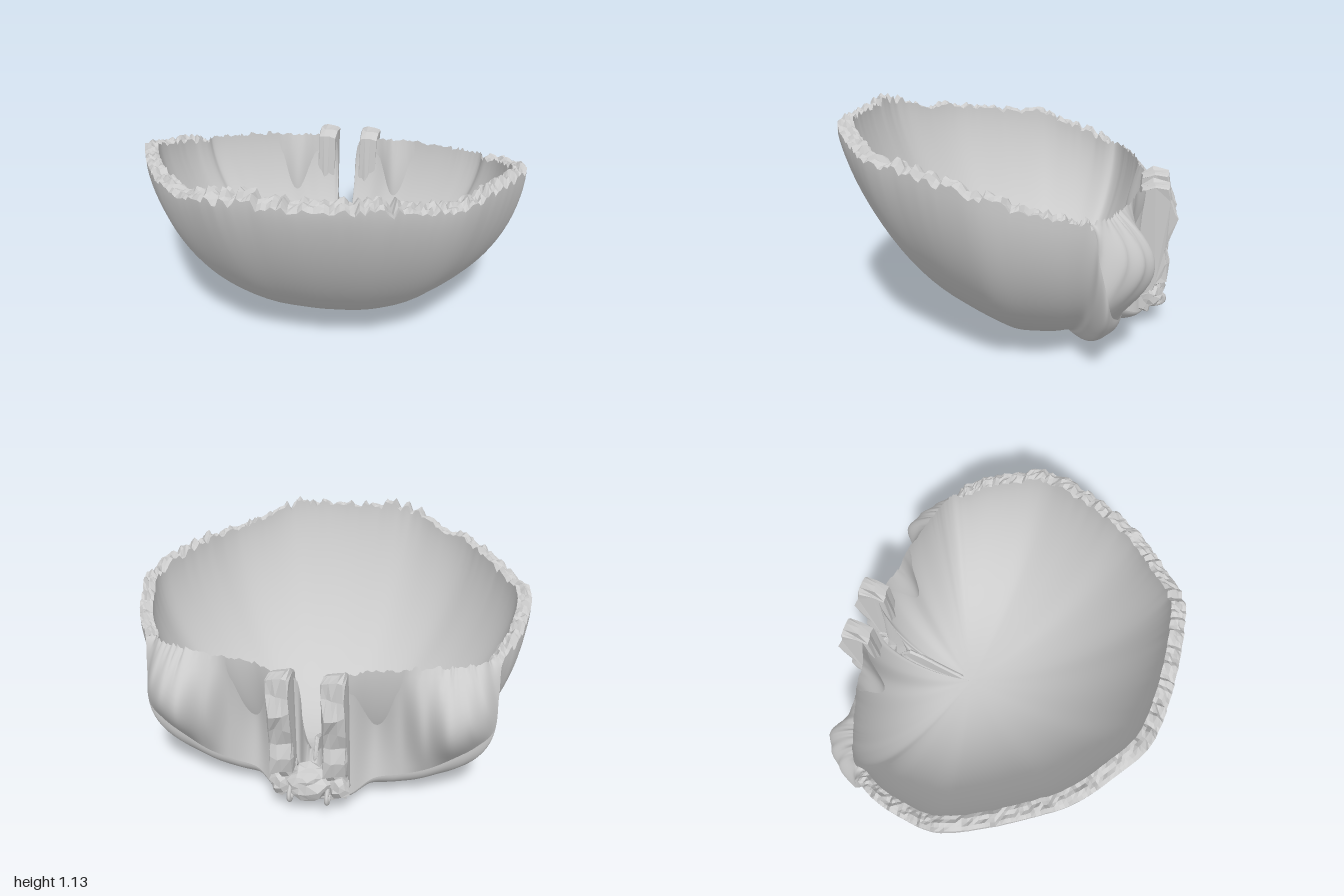
import * as THREE from 'three';

// Seeded noise in -1..1
const noise = (n) => {
  const s = Math.sin(n * 127.1 + 11.7) * 43758.5453;
  return (s - Math.floor(s)) * 2 - 1;
};

// Broken upper rim, from the middle of the front round to the temple
const rim = [
  [0, 1.05, 0.865], [0.2, 1.06, 0.855], [0.38, 1.05, 0.82], [0.55, 0.99, 0.7],
  [0.71, 0.97, 0.56], [0.82, 0.96, 0.39], [0.92, 0.94, 0.2], [1.0, 0.91, -0.02],
  [0.98, 0.86, -0.18], [0.93, 0.81, -0.35], [0.86, 0.77, -0.47],
];
// Brow margin, matching top of the eye socket wall, and hollow (+) or swelling (-) between
const brow = [
  [0.855, 0.6, -0.51, 0.79, 0.77, -0.5, -0.01],
  [0.845, 0.43, -0.55, 0.73, 0.77, -0.54, -0.08],
  [0.77, 0.34, -0.56, 0.67, 0.77, -0.56, -0.14],
  [0.67, 0.27, -0.57, 0.61, 0.77, -0.58, -0.17],
  [0.55, 0.21, -0.59, 0.5, 0.77, -0.61, -0.08],
  [0.42, 0.17, -0.6, 0.39, 0.77, -0.64, 0.01],
  [0.29, 0.14, -0.61, 0.28, 0.76, -0.65, 0.05],
  [0.19, 0.09, -0.68, 0.18, 0.75, -0.69, 0.02],
  [0.11, 0.08, -0.71, 0.09, 0.74, -0.7, 0],
  [0.06, 0.08, -0.72, 0.06, 0.68, -0.68, 0],
  [0.04, 0.08, -0.72, 0.04, 0.3, -0.6, 0],
  [0, 0.08, -0.72, 0, 0.25, -0.57, 0],
];
const half = [
  ...rim.map(([x, y, z]) => [x, y, z, x * 0.93, y + 0.03 * Math.max(0, z), (z + 0.2) * 0.93 - 0.2, 0]),
  ...brow,
];
const keys = [...half, ...half.slice(1, -1).reverse().map(([x, y, z, u, v, w, b]) => [-x, y, z, -u, v, w, b])];
const PER = 9;
const COLS = keys.length * PER;
const curve = (o) => new THREE.CatmullRomCurve3(keys.map((k) => new THREE.Vector3(k[o], k[o + 1], k[o + 2])), true);
const outerEdge = curve(0);
const innerEdge = curve(3);

// Everything needed for one radial column of the bone
const columns = Array.from({ length: COLS }, (_, c) => {
  const k = c / PER;
  const k0 = Math.floor(k);
  const E = outerEdge.getPoint(c / COLS);
  const W = innerEdge.getPoint(c / COLS);
  const ease = THREE.MathUtils.smoothstep(k - k0, 0, 1);
  const b = THREE.MathUtils.lerp(keys[k0][6], keys[(k0 + 1) % keys.length][6], ease);
  const isRim = k <= rim.length - 1 || k >= keys.length - rim.length + 1;
  const front = THREE.MathUtils.clamp(E.z / 0.87, 0, 1);
  const tooth = noise(c >> 1) * 0.018 + noise(c + 900) * 0.014;
  return { c, E, W, b, isRim, front, tooth };
});

// Dome profile from a pole to an edge point; a runs 0..1
function dome(pole, edge, a, power, q) {
  const r = Math.sin((a * Math.PI) / 2);
  return new THREE.Vector3(
    pole.x + (edge.x - pole.x) * r,
    pole.y + (edge.y - pole.y) * (1 - Math.pow(Math.max(0, 1 - Math.pow(r, power)), q)),
    pole.z + (edge.z - pole.z) * r
  );
}

const outerPole = new THREE.Vector3(0, 0, -0.22);
const innerPole = new THREE.Vector3(0, 0.07, -0.18);

function outerPoint(col, t) {
  const p = dome(outerPole, col.E, t, 2.4 - 0.4 * col.front, 0.53 + 0.17 * col.front);
  if (col.isRim) p.y += col.tooth * Math.pow(t, 14);
  return p;
}
function innerPoint(col, t) {
  const a = 1 - t;
  const p = dome(innerPole, col.W, a, 2.3 - 0.3 * col.front, 0.6 + 0.1 * col.front);
  p.y += col.tooth * (col.isRim ? 1 : 0.5) * Math.pow(a, 14);
  return p;
}
function edgePoint(col, t) {
  const p = col.E.clone().lerp(col.W, t);
  const s = Math.sin(Math.PI * t);
  if (col.isRim) {
    p.y += col.tooth + s * (0.012 + 0.018 * noise(col.c * 7 + Math.round(t * 4)));
  } else {
    p.z += col.b * s;
    p.y += col.tooth * 0.5 * Math.pow(t, 8);
  }
  return p;
}

// Grid of columns first..last, each sampled in rows by a point rule
function loft(name, first, last, rows, rule, material) {
  const pos = [];
  const idx = [];
  const n = last - first === COLS ? COLS : last - first + 1;
  for (let i = 0; i < n; i++) {
    const col = columns[(first + i) % COLS];
    for (let j = 0; j <= rows; j++) pos.push(...rule(col, j / rows).toArray());
  }
  for (let i = 0; i < last - first; i++) {
    for (let j = 0; j < rows; j++) {
      const a = i * (rows + 1) + j;
      const b = ((i + 1) % n) * (rows + 1) + j;
      idx.push(a, b, b + 1, a, b + 1, a + 1);
    }
  }
  const g = new THREE.BufferGeometry();
  g.setAttribute('position', new THREE.Float32BufferAttribute(pos, 3));
  g.setIndex(idx);
  g.computeVertexNormals();
  const m = new THREE.Mesh(g, material);
  m.name = name;
  return m;
}

// Plate drawn in the side plane as [z, y] points, centred on x
function sidePlate(name, pts, x, thick, rough, material) {
  const shape = new THREE.Shape(pts.map(([z, y]) => new THREE.Vector2(-z, y)));
  const g = new THREE.ExtrudeGeometry(shape, {
    depth: thick, steps: 3, bevelEnabled: true, bevelSize: 0.008, bevelThickness: 0.008, bevelSegments: 1,
  });
  g.translate(0, 0, -thick / 2);
  g.rotateY(Math.PI / 2);
  roughen(g, rough);
  const m = new THREE.Mesh(g, material);
  m.name = name;
  m.position.x = x;
  return m;
}

// Position-based jitter keeps shared corners together
function roughen(g, amount) {
  const p = g.attributes.position;
  for (let i = 0; i < p.count; i++) {
    const h = Math.round(p.getX(i) * 500) + Math.round(p.getY(i) * 500) * 3 + Math.round(p.getZ(i) * 500) * 7;
    p.setXYZ(i, p.getX(i) + amount * noise(h), p.getY(i) + amount * noise(h + 31), p.getZ(i) + amount * noise(h + 67));
  }
  g.computeVertexNormals();
}

export function createModel() {
  const group = new THREE.Group();
  const smooth = new THREE.MeshStandardMaterial({ color: 0xcccccc, side: THREE.DoubleSide });
  const flat = new THREE.MeshStandardMaterial({ color: 0xcccccc, side: THREE.DoubleSide, flatShading: true });

  // Bowl: outer and inner faces, jagged rim, eye socket walls
  const temple = (rim.length - 1) * PER;
  group.add(
    loft('foreheadOuter', 0, COLS, 28, outerPoint, smooth),
    loft('cavityInner', 0, COLS, 24, innerPoint, smooth),
    loft('brokenRim', COLS - temple, COLS + temple, 4, edgePoint, flat),
    loft('eyeSocketWalls', temple, COLS - temple, 14, edgePoint, smooth)
  );

  // Inner crest along the midline
  group.add(sidePlate('innerCrest', [
    [-0.6, 0.22], [-0.54, 0.3], [-0.47, 0.27], [-0.38, 0.2], [-0.24, 0.1], [-0.3, 0.05], [-0.6, 0.08],
  ], 0, 0.006, 0.002, flat));

  // Solid bone either side of the notch, ragged towards the back
  const wall = [
    [-0.64, 0.12], [-0.72, 0.1], [-0.75, 0.24], [-0.8, 0.28], [-0.81, 0.36], [-0.79, 0.43],
    [-0.81, 0.52], [-0.84, 0.61], [-0.81, 0.69], [-0.8, 0.76], [-0.73, 0.77], [-0.67, 0.74],
  ];
  for (const s of [-1, 1]) {
    group.add(sidePlate('notchWall', wall, s * 0.125, 0.09, 0.012, flat));
    // Bone cells at the foot of each wall
    for (let i = 0; i < 2; i++) {
      const g = new THREE.IcosahedronGeometry(0.055, 1);
      roughen(g, 0.012);
      const cell = new THREE.Mesh(g, flat);
      cell.name = 'boneCell';
      cell.position.set(s * (0.14 - i * 0.03), 0.17 + i * 0.1, -0.74);
      group.add(cell);
    }
    // Small loop of bone beside the nose root
    const loop = new THREE.Mesh(new THREE.TorusGeometry(0.036, 0.011, 6, 14), smooth);
    loop.name = 'boneLoop';
    loop.rotation.y = Math.PI / 2;
    loop.scale.x = 1.3;
    loop.position.set(s * 0.09, 0.135, -0.765);
    group.add(loop);
  }

  // Nose root at the foot of the notch
  const root = new THREE.IcosahedronGeometry(0.1, 2);
  root.scale(1.2, 0.85, 0.85);
  roughen(root, 0.012);
  const noseRoot = new THREE.Mesh(root, flat);
  noseRoot.name = 'noseRoot';
  noseRoot.position.set(0, 0.18, -0.73);
  group.add(noseRoot);

  return group;
}
